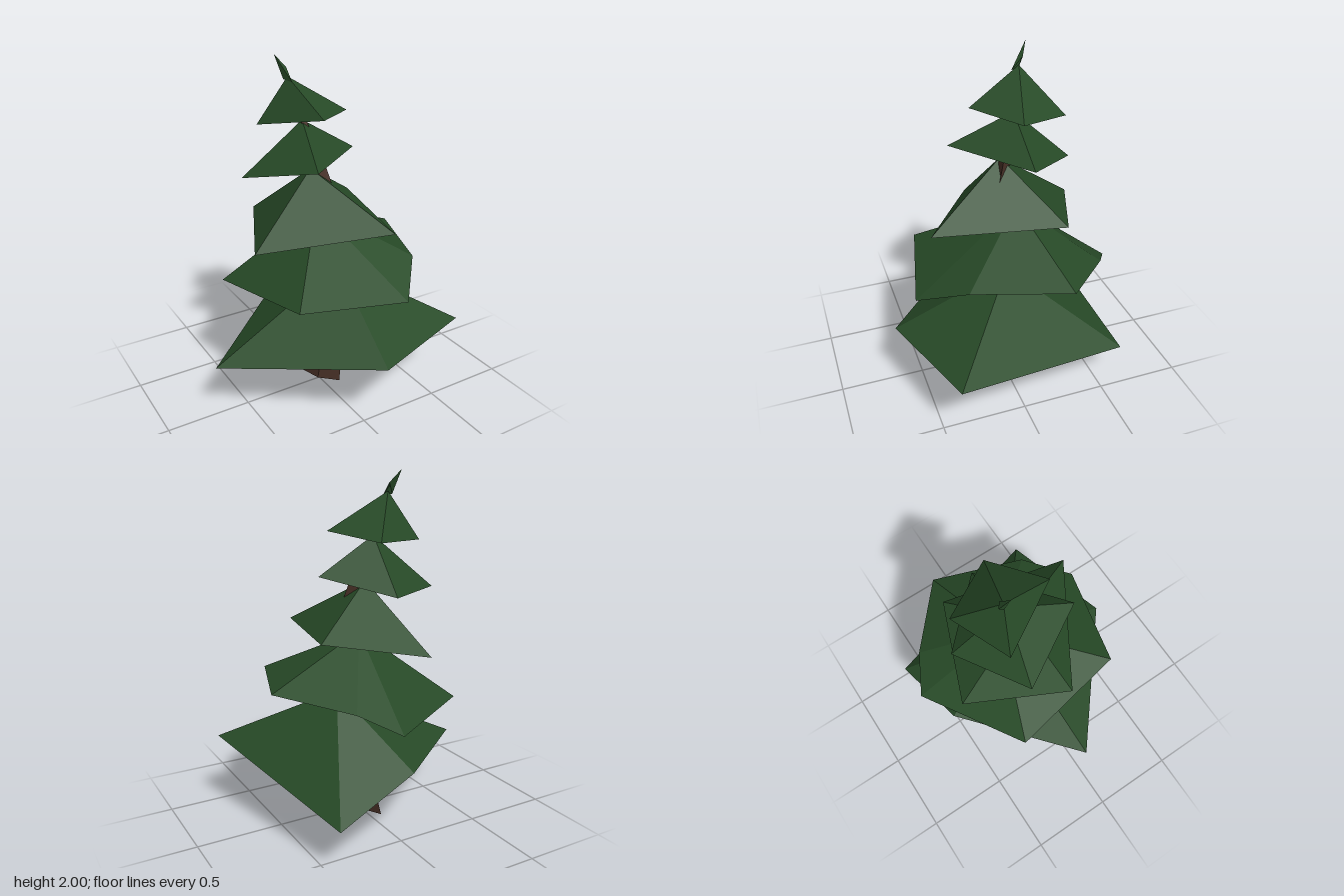
import * as THREE from 'three';

const needles = new THREE.MeshStandardMaterial({ color: 0x274a27, side: THREE.DoubleSide, flatShading: true });
needles.name = 'needle green';
const bark = new THREE.MeshStandardMaterial({ color: 0x4a3228, side: THREE.DoubleSide, flatShading: true });
bark.name = 'bark brown';

// Flat-shaded mesh from a list of triangles, each with three [x, y, z] corners
function facetMesh(name, triangles, material) {
  const geometry = new THREE.BufferGeometry();
  geometry.setAttribute('position', new THREE.Float32BufferAttribute(triangles.flat(2), 3));
  geometry.computeVertexNormals();
  const mesh = new THREE.Mesh(geometry, material);
  mesh.name = name;
  return mesh;
}

// Hollow, uneven pyramid: apex and rim corners, counterclockwise from above
function skirt(name, apex, rim) {
  return facetMesh(name, rim.map((p, i) => [apex, p, rim[(i + 1) % rim.length]]), needles);
}

// Skin joining rings with equal numbers of corners
function loft(name, rings, material) {
  const triangles = [];
  for (let r = 0; r + 1 < rings.length; r++) {
    const low = rings[r], high = rings[r + 1];
    for (let i = 0; i < low.length; i++) {
      const j = (i + 1) % low.length;
      triangles.push([low[i], low[j], high[j]], [low[i], high[j], high[i]]);
    }
  }
  const base = rings[0];
  triangles.push([base[0], base[2], base[1]]);
  return facetMesh(name, triangles, material);
}

export function createModel() {
  const tree = new THREE.Group();
  tree.name = 'pineTree';

  // Bent three-sided trunk: height, then x, z of each corner
  const sections = [
    [0, [0.09, 0.095], [-0.065, -0.185], [-0.01, 0]],
    [0.7, [0.13, 0.1], [0.06, -0.06], [0.06, 0.05]],
    [1.1, [0.12, 0.07], [0.05, -0.03], [0.05, 0.04]],
    [1.4, [0.05, -0.02], [-0.02, -0.09], [-0.02, -0.02]],
    [1.65, [-0.03, -0.09], [-0.06, -0.13], [-0.06, -0.09]],
    [1.86, [-0.1, -0.155], [-0.11, -0.165], [-0.11, -0.155]],
  ];
  tree.add(loft('trunk', sections.map(([y, ...ring]) => ring.map(([x, z]) => [x, y, z])), bark));

  // Branch tiers from the bottom up
  const tiers = [
    { apex: [0.135, 0.76, -0.01], rim: [[0.045, 0.42, 0.65], [0.705, 0.44, 0.44], [0.455, 0.24, -0.635],
      [-0.05, 0.41, -0.54], [-0.705, 0.34, 0.04]] },
    { apex: [0.04, 1.12, -0.1], rim: [[0.235, 0.74, 0.555], [0.445, 0.87, 0.31], [0.63, 0.875, -0.22],
      [0.3, 0.8, -0.53], [0.095, 0.69, -0.655], [-0.495, 0.7, -0.29], [-0.37, 0.775, 0.415]] },
    { apex: [-0.04, 1.39, -0.03], rim: [[0.21, 1.11, 0.445], [0.37, 1.12, -0.28], [-0.175, 1.03, -0.5],
      [-0.445, 0.99, 0.06]] },
    { apex: [-0.045, 1.65, -0.11], rim: [[-0.15, 1.455, 0.24], [0.295, 1.445, -0.11], [0, 1.355, -0.43],
      [-0.39, 1.35, -0.185]] },
    { apex: [-0.105, 1.885, -0.16], rim: [[-0.055, 1.7, 0.14], [0.22, 1.68, -0.07], [0.065, 1.635, -0.37],
      [-0.265, 1.625, -0.23]] },
  ];
  tiers.forEach(({ apex, rim }, i) => tree.add(skirt(`branchTier${i + 1}`, apex, rim)));

  // Leaning spike at the top
  tree.add(skirt('topSpike', [-0.155, 2, -0.215],
    [[-0.1, 1.86, -0.115], [-0.1, 1.93, -0.18], [-0.125, 1.87, -0.17]]));

  return tree;
}
